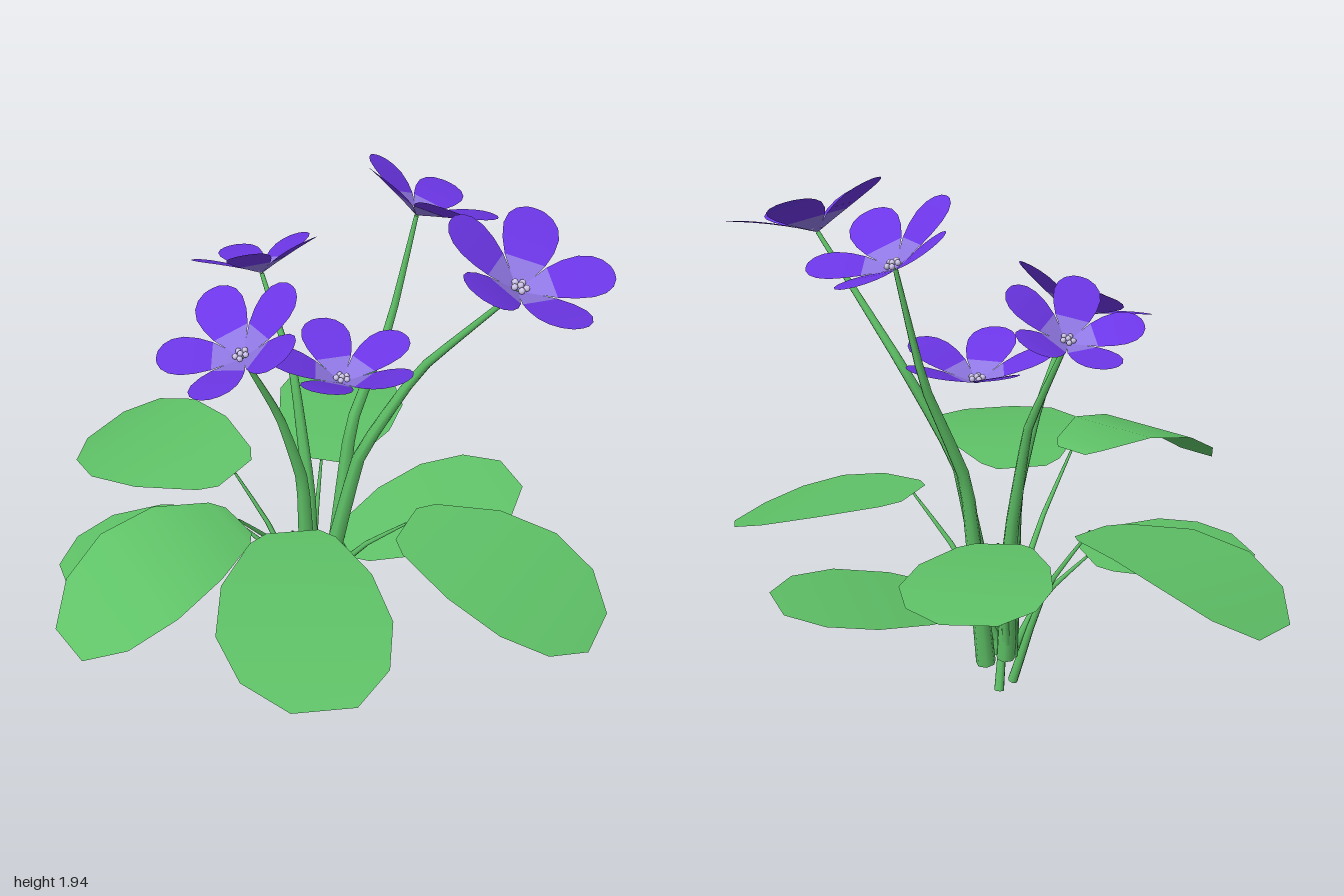
import * as THREE from 'three';

const V = (x, y, z) => new THREE.Vector3(x, y, z);
const rad = THREE.MathUtils.degToRad;

// Smooth open surface through rows of points (forward along rows, left to right across)
function sheet(rows) {
  const n = rows[0].length, index = [];
  for (let i = 0; i < rows.length - 1; i++) {
    for (let j = 0; j < n - 1; j++) {
      const a = i * n + j, b = a + n;
      index.push(a, a + 1, b, a + 1, b + 1, b);
    }
  }
  const geo = new THREE.BufferGeometry().setFromPoints(rows.flat());
  geo.setIndex(index);
  geo.computeVertexNormals();
  return geo;
}

// Tube through points, narrowing from r0 at the start to r1 at the end; low tension keeps the bends crisp
function taperedTube(points, r0, r1, tension, segments) {
  const curve = new THREE.CatmullRomCurve3(points, false, 'catmullrom', tension);
  const sides = 7;
  const geo = new THREE.TubeGeometry(curve, segments, 1, sides);
  const pos = geo.attributes.position, p = V(0, 0, 0);
  for (let i = 0; i < pos.count; i++) {
    const u = Math.floor(i / (sides + 1)) / segments;
    const c = curve.getPointAt(u);
    p.fromBufferAttribute(pos, i).sub(c).multiplyScalar(r0 + (r1 - r0) * u).add(c);
    pos.setXYZ(i, p.x, p.y, p.z);
  }
  return geo;
}

// Rounded leaf blade: centre line from base to tip, half-widths, roll lifts the right edge
const LEAF_PROFILE = [[0, 0.32], [0.06, 0.52], [0.32, 0.88], [0.6, 1], [0.84, 0.82], [1, 0.36]];
function leafGeometry(base, mid, tip, halfWidth, roll) {
  const control = mid.clone().multiplyScalar(2).addScaledVector(base, -0.5).addScaledVector(tip, -0.5);
  const curve = new THREE.QuadraticBezierCurve3(base, control, tip);
  const right = V(base.z - tip.z, 0, tip.x - base.x).normalize().setY(roll);
  return sheet(LEAF_PROFILE.map(([u, w]) =>
    [-1, 0, 1].map((s) => curve.getPoint(u).addScaledVector(right, s * w * halfWidth))));
}

// Petal strip pointing along -z, rising from the flower centre
function petalGeometry(profile) {
  return sheet(profile.map(([r, w]) =>
    [-1, -0.5, 0, 0.5, 1].map((s) => V(s * w, 0.56 * r - 0.5 * r * r, -r))));
}

export function createModel() {
  const make = (name, color, side) => {
    const m = new THREE.MeshStandardMaterial({ color, side });
    m.name = name;
    return m;
  };
  const green = make('leaf green', 0x5fc267, THREE.DoubleSide);
  const violet = make('petal violet', 0x6c36e6, THREE.DoubleSide);
  const lilac = make('pale lilac', 0x9078e4, THREE.DoubleSide);
  const pollen = make('stamen pale', 0xcfc6ea, THREE.FrontSide);

  const model = new THREE.Group();
  model.name = 'floweringPlant';
  const add = (parent, geo, mat, name) => {
    const mesh = new THREE.Mesh(geo, mat);
    mesh.name = name;
    parent.add(mesh);
    return mesh;
  };

  // Leaves: petiole foot, blade base, blade middle, blade tip, half-width, roll
  const leaves = [
    [V(0.10, 0.07, -0.04), V(-0.09, 0.73, -0.26), V(-0.265, 0.72, -0.6), V(-0.34, 0.59, -0.97), 0.28, 0.14],
    [V(0.10, 0.18, -0.03), V(-0.14, 0.58, -0.17), V(-0.48, 0.555, -0.24), V(-0.8, 0.5, -0.26), 0.235, -0.08],
    [V(0.10, 0.18, 0.0), V(-0.27, 0.86, 0.14), V(-0.62, 0.872, 0.22), V(-0.96, 0.67, 0.25), 0.24, 0.08],
    [V(0.13, 0.01, 0.01), V(-0.1, 0.8, 0.22), V(-0.27, 0.81, 0.6), V(-0.39, 0.75, 0.97), 0.29, 0],
    [V(0.13, 0.18, 0.0), V(0.31, 0.75, 0.32), V(0.55, 0.67, 0.64), V(0.73, 0.54, 0.93), 0.29, -0.04],
    [V(0.13, 0.18, -0.02), V(0.25, 0.43, 0.0), V(0.61, 0.52, 0.05), V(0.96, 0.58, 0.08), 0.25, 0],
    [V(0.13, 0.18, -0.05), V(0.24, 0.73, -0.18), V(0.46, 0.76, -0.43), V(0.63, 0.755, -0.67), 0.25, -0.04],
  ];
  for (const [foot, base, mid, tip, w, roll] of leaves) {
    const leaf = new THREE.Group();
    leaf.name = 'leaf';
    model.add(leaf);
    add(leaf, leafGeometry(base, mid, tip, w, roll), green, 'blade');
    const bend = foot.clone().lerp(base, 0.42);
    bend.y = foot.y + 0.58 * (base.y - foot.y);
    add(leaf, taperedTube([foot, bend, base], 0.019, 0.005, 0.5, 6), green, 'petiole');
  }

  // Shared flower geometry
  const innerPetal = petalGeometry([[0.004, 0.004], [0.05, 0.037], [0.1, 0.069]]);
  const outerPetal = petalGeometry([[0.1, 0.069], [0.15, 0.088], [0.2, 0.095], [0.24, 0.085],
    [0.268, 0.062], [0.285, 0.03], [0.288, 0.008]]);
  const stamen = new THREE.SphereGeometry(0.011, 10, 8);

  // Flowers: head position, stem points below it (the lowest head nestles between the stems),
  // tilt direction and angle, first petal angle, size
  const flowers = [
    { head: V(0.095, 1.485, -0.38), stem: [V(0.13, 0.18, -0.04), V(0.135, 0.7, -0.09), V(0.13, 1.14, -0.2)],
      dir: 90, tilt: 25, phase: 90, size: 0.82 },
    { head: V(-0.18, 1.435, 0.02), stem: [V(0.11, 0.18, -0.03), V(0.07, 0.8, -0.02), V(-0.03, 1.13, -0.01)],
      dir: 180, tilt: 26, phase: 4, size: 0.93 },
    { head: V(0.185, 1.24, 0.05), dir: 40, tilt: 3, phase: 79, size: 0.94 },
    { head: V(0.555, 1.73, -0.1), stem: [V(0.22, 0.19, -0.05), V(0.305, 0.93, -0.08), V(0.46, 1.32, -0.09)],
      dir: 0, tilt: 26, phase: 180, size: 0.9 },
    { head: V(0.56, 1.73, 0.49), stem: [V(0.14, 0.19, 0.0), V(0.24, 0.92, 0.09), V(0.405, 1.31, 0.2)],
      dir: -65, tilt: 19, phase: -90, size: 1.0 },
  ];
  for (const { head, stem, dir, tilt, phase, size } of flowers) {
    if (stem) add(model, taperedTube([...stem, head], 0.037, 0.008, 0.15, 14), green, 'flowerStem');

    const flower = new THREE.Group();
    flower.name = 'flower';
    flower.position.copy(head);
    const t = rad(tilt), a = rad(dir);
    flower.quaternion.setFromUnitVectors(V(0, 1, 0),
      V(Math.sin(t) * Math.cos(a), Math.cos(t), -Math.sin(t) * Math.sin(a)));
    flower.scale.setScalar(size);
    model.add(flower);

    for (let k = 0; k < 5; k++) {
      const turn = rad(phase + 72 * k - 90);
      add(flower, innerPetal, lilac, 'petalBase').rotation.y = turn;
      add(flower, outerPetal, violet, 'petal').rotation.y = turn;
      // Stamens round the heart
      add(flower, stamen, pollen, 'stamen').position.set(
        0.022 * Math.cos(turn), 0.022, 0.022 * Math.sin(turn));
    }
    add(flower, stamen, pollen, 'pistil').position.y = 0.026;
  }
  return model;
}
